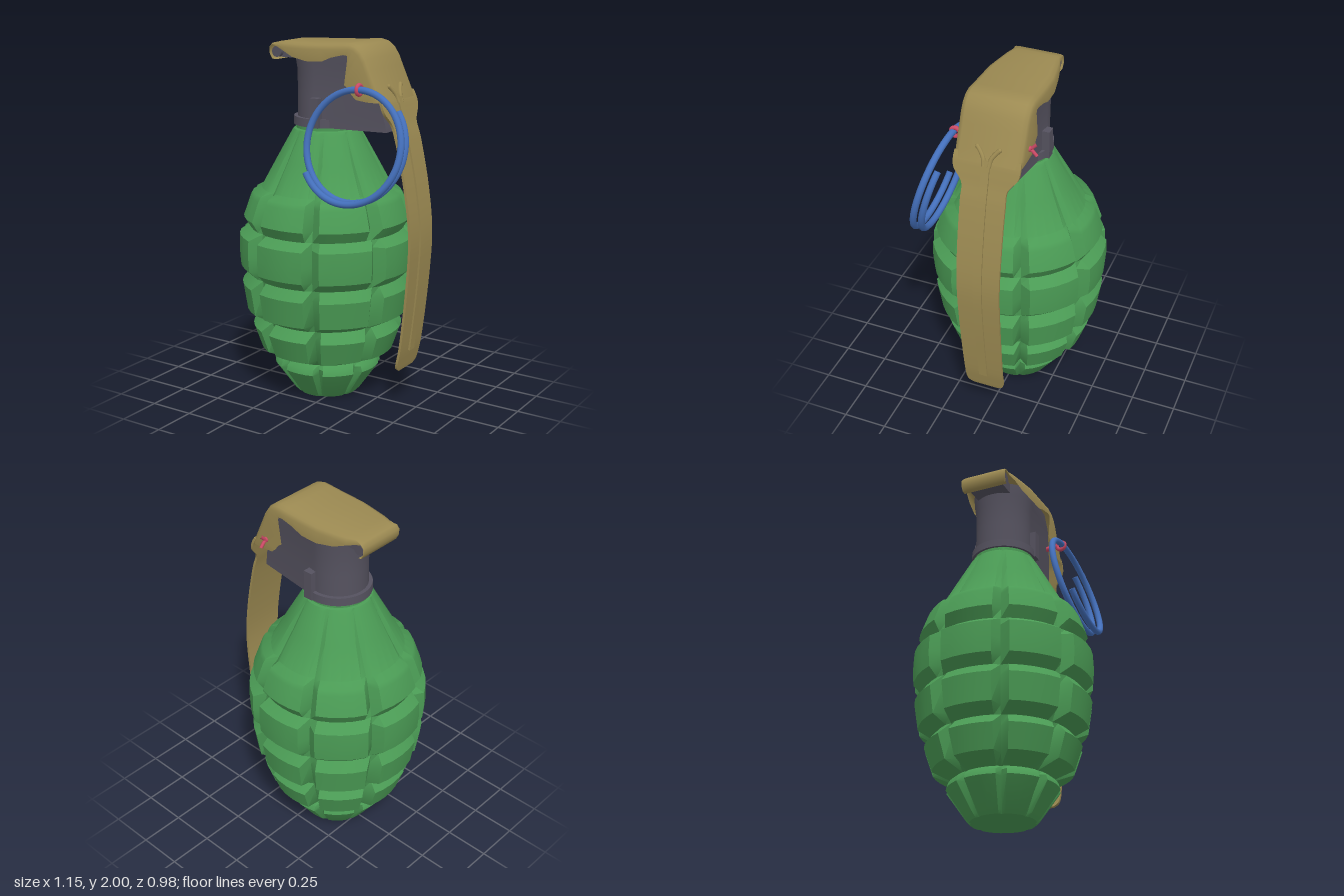
import * as THREE from 'three';
import { toCreasedNormals } from 'three/addons/utils/BufferGeometryUtils.js';

const V = (x, y, z = 0) => new THREE.Vector3(x, y, z);
const mat = (color, side = THREE.FrontSide) => new THREE.MeshStandardMaterial({ color, side });
const CX = -0.085; // axis of the body

// Skin a list of rings; rings run counter-clockwise around the direction of travel
function loft(rings, { closed = true, caps = true, crease = 0.6 } = {}) {
  const pos = [], n = rings[0].length;
  const tri = (...p) => p.forEach((v) => pos.push(v.x, v.y, v.z));
  for (let i = 0; i + 1 < rings.length; i++) {
    for (let j = 0; j < (closed ? n : n - 1); j++) {
      const k = (j + 1) % n, A = rings[i], B = rings[i + 1];
      tri(A[j], A[k], B[k]);
      tri(A[j], B[k], B[j]);
    }
  }
  if (closed && caps) {
    [rings[0], rings[rings.length - 1]].forEach((r, end) => {
      const c = r.reduce((s, p) => s.add(p), V(0, 0)).divideScalar(n);
      r.forEach((p, j) => (end ? tri(c, p, r[(j + 1) % n]) : tri(c, r[(j + 1) % n], p)));
    });
  }
  const geo = new THREE.BufferGeometry();
  geo.setAttribute('position', new THREE.Float32BufferAttribute(pos, 3));
  return toCreasedNormals(geo, crease);
}

// Flat bar following points (x, y, half width); grows outward by "out", inward by "inn"
function bar(points, out, inn, steps = 60) {
  const curve = new THREE.CatmullRomCurve3(points.map((p) => V(...p)));
  const rings = [];
  for (let i = 0; i <= steps; i++) {
    const p = curve.getPoint(i / steps), d = curve.getTangent(i / steps);
    const l = Math.hypot(d.x, d.y), nx = -d.y / l, ny = d.x / l;
    rings.push([[out, -1], [out, 1], [-inn, 1], [-inn, -1]].map(([o, s]) => V(p.x + nx * o, p.y + ny * o, s * p.z)));
  }
  return loft(rings);
}

export function createModel() {
  const group = new THREE.Group();
  const green = mat(0x4a9a54), dark = mat(0x55525f), gold = mat(0x9c8a52);
  const goldSheet = mat(0x9c8a52, THREE.DoubleSide), blue = mat(0x4470bc), red = mat(0xcc4a66);
  const add = (name, geo, material, x = 0, y = 0, z = 0) => {
    const m = new THREE.Mesh(geo, material);
    m.name = name;
    m.position.set(x, y, z);
    group.add(m);
    return m;
  };

  // Segmented body: [height, radius on a block, radius in the vertical groove]
  const profile = [
    [0, 0.175, 0.165], [0.02, 0.195, 0.18], [0.17, 0.3, 0.255], [0.2, 0.29, 0.265], [0.222, 0.262, 0.258],
    [0.27, 0.375, 0.31], [0.4, 0.42, 0.355], [0.455, 0.372, 0.365], [0.5, 0.455, 0.385], [0.65, 0.478, 0.42],
    [0.705, 0.435, 0.425], [0.755, 0.486, 0.43], [0.84, 0.492, 0.435], [0.93, 0.488, 0.428], [0.97, 0.428, 0.42],
    [1.03, 0.464, 0.405], [1.14, 0.425, 0.37], [1.165, 0.41, 0.36], [1.19, 0.362, 0.345], [1.35, 0.275, 0.258],
    [1.5, 0.192, 0.186], [1.515, 0.182, 0.178], [1.52, 0.168, 0.168], [1.56, 0.168, 0.168],
  ];
  const offsets = [-22.5, -17, -8.5, 0, 8.5, 17];
  add('body', loft(profile.map(([y, block, groove]) => {
    const ring = [];
    for (let lobe = 0; lobe < 8; lobe++) {
      offsets.forEach((o, i) => {
        const a = THREE.MathUtils.degToRad(lobe * 45 + o), r = i ? block : groove;
        ring.push(V(CX + r * Math.cos(a), y, -r * Math.sin(a)));
      });
    }
    return ring;
  })), green);

  // Fuse head: round at the back, tapering toward the lever; [height, radius, end x, end half width]
  const headLevels = [
    [1.54, 0.16, 0.35, 0.1], [1.575, 0.16, 0.345, 0.1], [1.7, 0.158, 0.315, 0.115],
    [1.84, 0.16, 0.27, 0.13], [1.89, 0.168, 0.24, 0.14], [1.955, 0.172, 0.17, 0.15],
  ];
  add('fuseHead', loft(headLevels.map(([y, r, xe, w]) => {
    const ring = [V(xe, y, w), V(xe, y, -w)];
    for (let i = 0; i <= 20; i++) {
      const a = Math.PI * (0.4 + (1.2 * i) / 20);
      ring.push(V(CX + r * Math.cos(a), y, -r * Math.sin(a)));
    }
    return ring;
  })), dark);
  add('fuseCollar', toCreasedNormals(new THREE.CylinderGeometry(0.18, 0.182, 0.045, 48), 0.6), dark, CX, 1.5625);
  add('sideRibs', new THREE.BoxGeometry(0.052, 0.16, 0.38), dark, -0.045, 1.62);
  add('hingeArm', new THREE.BoxGeometry(0.14, 0.06, 0.2), dark, -0.26, 1.925);
  add('hingePin', new THREE.CylinderGeometry(0.03, 0.03, 0.25, 20).rotateX(Math.PI / 2), dark, -0.33, 1.925);

  // Lever cover, a folded sheet: [top x, top y, half width, skirt edge x, skirt edge y]
  const cover = [
    [-0.335, 1.882, 0.13, -0.334, 1.883], [-0.355, 1.886, 0.133, -0.354, 1.887], [-0.37, 1.915, 0.135, -0.368, 1.915],
    [-0.372, 1.95, 0.135, -0.369, 1.948], [-0.355, 1.972, 0.135, -0.352, 1.965], [-0.31, 1.982, 0.137, -0.31, 1.95],
    [-0.27, 1.983, 0.152, -0.27, 1.937], [-0.2, 1.984, 0.166, -0.2, 1.908], [-0.1, 1.986, 0.183, -0.1, 1.893],
    [0, 1.99, 0.185, 0, 1.897], [0.06, 1.993, 0.185, 0.06, 1.922], [0.12, 1.997, 0.185, 0.135, 1.94],
    [0.17, 2, 0.185, 0.16, 1.938], [0.21, 1.99, 0.185, 0.162, 1.92], [0.243, 1.965, 0.185, 0.152, 1.85],
    [0.27, 1.925, 0.185, 0.143, 1.785], [0.295, 1.87, 0.185, 0.165, 1.77], [0.32, 1.815, 0.185, 0.19, 1.735],
    [0.345, 1.76, 0.185, 0.215, 1.713], [0.37, 1.705, 0.183, 0.28, 1.705],
  ];
  add('leverCover', loft(cover.map(([x, y, w, bx, by]) => {
    const len = Math.hypot(bx - x, by - y), e = Math.min(0.03, len * 0.6);
    const at = (d, z) => V(x + ((bx - x) * d) / len, y + ((by - y) * d) / len, z);
    const half = [[len, 0], [e, 0], [e * 0.3, 0.009], [0, 0.03]];
    return [
      ...half.map(([d, i]) => at(d, i - w)),
      ...half.slice().reverse().map(([d, i]) => at(d, w - i)),
    ];
  }), { closed: false, crease: 0.9 }), goldSheet);

  // Long curved lever with a raised rib and forked top
  add('lever', bar([
    [0.352, 1.74, 0.18], [0.371, 1.7, 0.182], [0.385, 1.655, 0.175], [0.405, 1.585, 0.125], [0.432, 1.5, 0.123],
    [0.487, 1.24, 0.122], [0.515, 1, 0.12], [0.505, 0.757, 0.118], [0.461, 0.36, 0.113],
    [0.441, 0.265, 0.11], [0.435, 0.24, 0.1], [0.43, 0.223, 0.075],
  ], 0, 0.014, 90), gold);
  add('leverRib', bar([
    [0.365, 1.72, 0.02], [0.4, 1.603, 0.022], [0.432, 1.5, 0.023], [0.487, 1.24, 0.024],
    [0.515, 1, 0.024], [0.505, 0.757, 0.024], [0.459, 0.335, 0.024],
  ], 0.01, 0.008), gold);
  for (const s of [-1, 1]) {
    const fork = new THREE.CatmullRomCurve3([V(0.375, 1.69, s * 0.014), V(0.36, 1.73, s * 0.022), V(0.345, 1.763, s * 0.045), V(0.338, 1.778, s * 0.06)]);
    add('leverFork', new THREE.TubeGeometry(fork, 12, 0.012, 8), gold);
    add('leverForkTip', new THREE.SphereGeometry(0.012, 8, 6), gold, 0.338, 1.778, s * 0.06);
  }

  // Pull ring: one and a half coils of wire, hanging at a tilt
  const coil = [];
  for (let i = 0; i <= 72; i++) {
    const s = i / 72, a = THREE.MathUtils.degToRad(41 - 549 * s), y = 0.285 * Math.sin(a);
    coil.push(V(0.268 + 0.289 * Math.cos(a), 1.49 + y, 0.295 - 0.25 * y + (s - 0.5) * 0.07));
  }
  const wire = new THREE.CatmullRomCurve3(coil);
  add('pullRing', new THREE.TubeGeometry(wire, 160, 0.018, 10), blue);
  for (const t of [0, 1]) {
    const end = add('pullRingEnd', new THREE.CircleGeometry(0.018, 10), blue, ...wire.getPoint(t).toArray());
    end.lookAt(wire.getPoint(t).addScaledVector(wire.getTangent(t), t ? 1 : -1));
  }

  // Safety pin: shaft, eye around the ring, split ends at the back
  add('safetyPin', new THREE.CylinderGeometry(0.015, 0.015, 0.39, 12).rotateX(Math.PI / 2), red, 0.255, 1.77, 0);
  add('pinEye', new THREE.TorusGeometry(0.024, 0.012, 10, 24).rotateY(Math.PI / 2), red, 0.255, 1.773, 0.217);
  for (const s of [-1, 1]) {
    const prong = new THREE.CatmullRomCurve3([V(0.255, 1.77, -0.18), V(0.255, 1.77 + s * 0.006, -0.196), V(0.255, 1.77 + s * 0.035, -0.225)]);
    add('pinProng', new THREE.TubeGeometry(prong, 10, 0.009, 8), red);
  }
  return group;
}
